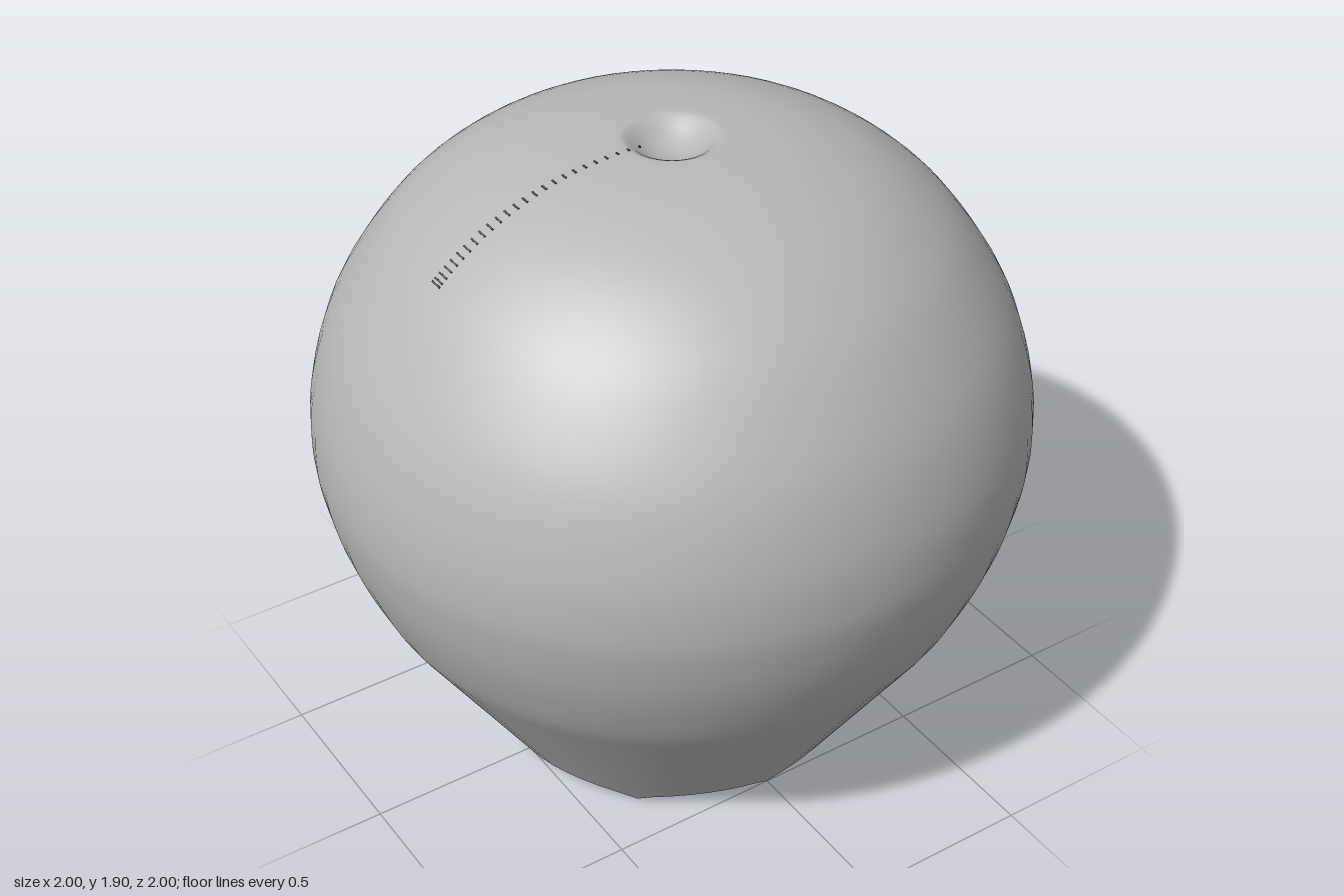
import * as THREE from 'three';

const SEGMENTS = 64;
const LOBES = 8;

// Upper body profile: [radius, height]
const PROFILE = [
  [0.82, 0.5], [0.88, 0.6], [0.95, 0.77], [0.988, 0.92], [1, 1.04], [0.985, 1.2], [0.92, 1.4],
  [0.8, 1.59], [0.69, 1.705], [0.56, 1.795], [0.42, 1.853], [0.3, 1.881], [0.17, 1.893], [0.128, 1.893],
];

// Height of the scalloped lower edge at an angle
const scallop = (a) => 0.06 * Math.pow(Math.abs(Math.sin(a * LOBES / 2)), 0.6);
const edgeRadius = (y) => 0.5 + 0.64 * y;

function seeded(seed) {
  return () => {
    seed = (seed * 1664525 + 1013904223) % 4294967296;
    return seed / 4294967296;
  };
}

// Lathe whose points are then moved by rule(angle, row) -> [radius, height]
function lobedLathe(rows, rule) {
  const points = Array.from({ length: rows }, (_, j) => new THREE.Vector2(1, j));
  const geo = new THREE.LatheGeometry(points, SEGMENTS);
  const pos = geo.attributes.position;
  for (let i = 0; i <= SEGMENTS; i++) {
    const a = (i % SEGMENTS) / SEGMENTS * Math.PI * 2;
    for (let j = 0; j < rows; j++) {
      const [r, y] = rule(a, j);
      pos.setXYZ(i * rows + j, Math.sin(a) * r, y, Math.cos(a) * r);
    }
  }
  geo.computeVertexNormals();
  // Join the normals across the seam
  const n = geo.attributes.normal;
  for (let j = 0; j < rows; j++) {
    const k = SEGMENTS * rows + j;
    const v = new THREE.Vector3().fromBufferAttribute(n, j)
      .add(new THREE.Vector3().fromBufferAttribute(n, k)).normalize();
    n.setXYZ(j, v.x, v.y, v.z);
    n.setXYZ(k, v.x, v.y, v.z);
  }
  return geo;
}

export function createModel() {
  const group = new THREE.Group();
  const grey = new THREE.MeshStandardMaterial({ color: 0xb8b8b8, side: THREE.DoubleSide });
  grey.name = 'grey';
  const dark = new THREE.MeshStandardMaterial({ color: 0x555555, side: THREE.DoubleSide });
  dark.name = 'darkGrey';
  const add = (name, geo, mat = grey) => {
    const mesh = new THREE.Mesh(geo, mat);
    mesh.name = name;
    group.add(mesh);
    return mesh;
  };

  // Smooth body: conical neck, round belly, flattened crown with a dimple
  const curve = new THREE.SplineCurve(PROFILE.map((p) => new THREE.Vector2(...p)));
  const upper = curve.getPoints(48).map((p) => [p.x, p.y]);
  upper.push([0.112, 1.885], [0.092, 1.868], [0.065, 1.85], [0.035, 1.84], [0, 1.837]);
  const neckRows = 5;
  add('body', lobedLathe(neckRows + upper.length, (a, j) => {
    if (j >= neckRows) return upper[j - neckRows];
    const y = THREE.MathUtils.lerp(scallop(a), 0.5, j / neckRows);
    return [edgeRadius(y), y];
  }));

  // Scalloped underside rim, hollowed between its ridges
  add('scallopedRim', lobedLathe(6, (a, j) => {
    const t = j / 5;
    const y = scallop(a);
    return [THREE.MathUtils.lerp(0.34, edgeRadius(y), t), y + 0.04 * (1 - t * t)];
  }));

  // Crumpled floor inside the opening
  const random = seeded(7);
  const rings = 16;
  const floor = new THREE.RingGeometry(0.001, 0.4, 56, rings);
  floor.rotateX(Math.PI / 2);
  const p = floor.attributes.position;
  for (let j = 0; j <= rings; j++) {
    const jitter = j === 0 ? 0 : 0.016;
    for (let i = 0; i < 57; i++) {
      const k = j * 57 + i;
      if (i === 56) {
        p.setXYZ(k, p.getX(j * 57), p.getY(j * 57), p.getZ(j * 57));
      } else {
        p.setXYZ(k, p.getX(k) + (random() - 0.5) * jitter * 2,
          0.015 + random() * 0.06, p.getZ(k) + (random() - 0.5) * jitter * 2);
      }
    }
  }
  const crumpled = floor.toNonIndexed();
  crumpled.computeVertexNormals();
  add('crumpledFloor', crumpled);

  // Row of fine creases running down from the dimple on the right side
  const crown = upper.slice(0, 49).reverse();
  for (let i = 0; i < 25; i++) {
    const r = 0.71 - 0.61 * Math.pow(i / 24, 1.35);
    const k = Math.max(1, crown.findIndex((q) => q[0] >= r));
    const [r0, y0] = crown[k - 1];
    const [r1, y1] = crown[k];
    const y = y0 + (y1 - y0) * THREE.MathUtils.clamp((r - r0) / (r1 - r0), 0, 1);
    const crease = add('crease', new THREE.BoxGeometry(0.005, 0.004, 0.008 + 0.05 * (r - 0.1)), dark);
    crease.position.set(-r, y, 0);
    crease.rotation.z = Math.atan2(y0 - y1, r1 - r0);
  }

  return group;
}
